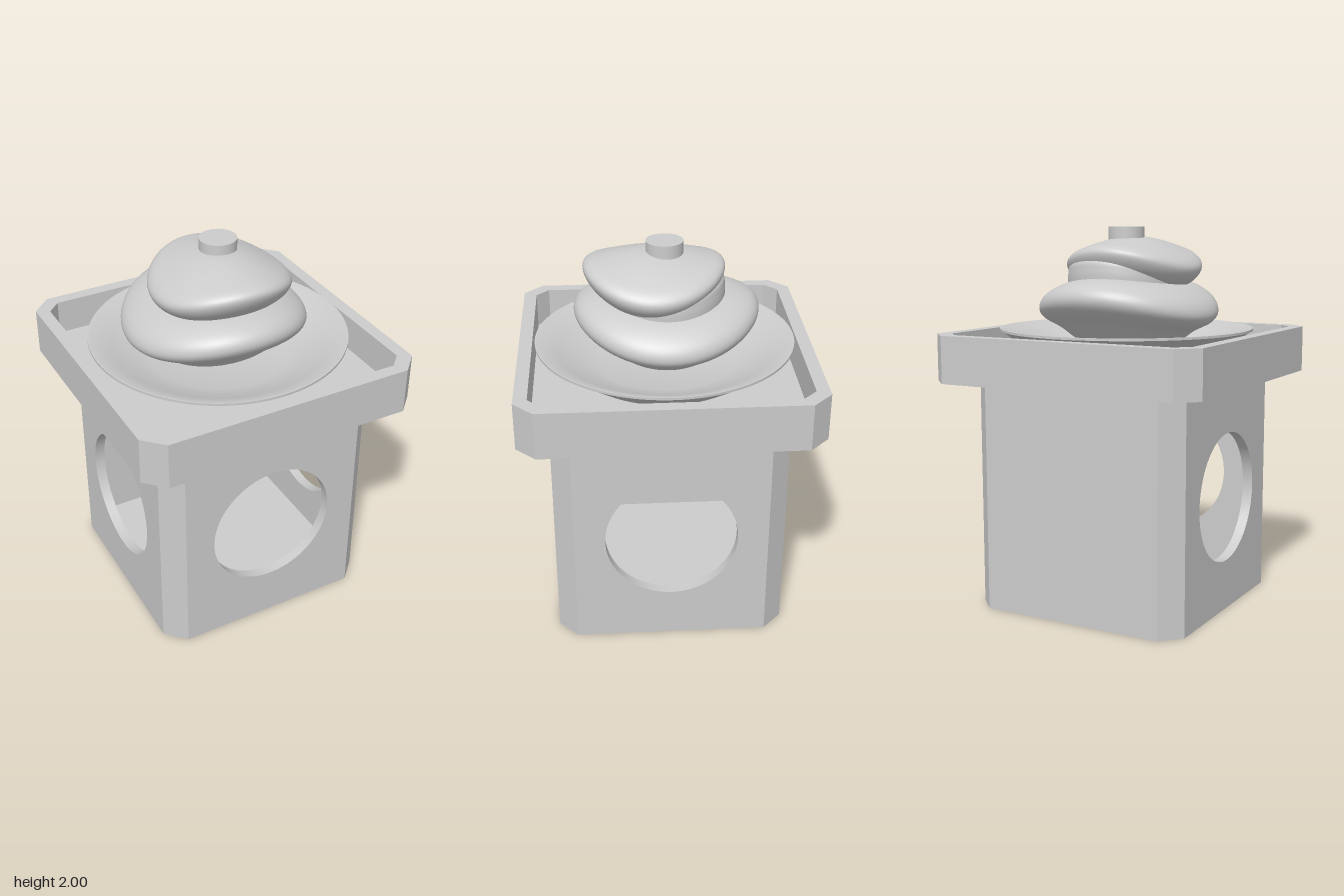
import * as THREE from 'three';
import { toCreasedNormals } from 'three/addons/utils/BufferGeometryUtils.js';

const mat = new THREE.MeshStandardMaterial({ color: 0xcccccc });

function add(parent, name, geometry, x = 0, y = 0, z = 0) {
  const mesh = new THREE.Mesh(geometry, mat);
  mesh.name = name;
  mesh.position.set(x, y, z);
  parent.add(mesh);
  return mesh;
}

const vectors = (pts) => pts.map(([x, y]) => new THREE.Vector2(x, y));

// Square outline with cut corners: half width h, corner cut c
function cutSquare(h, c) {
  const k = h - c;
  return vectors([[k, -h], [h, -k], [h, k], [k, h], [-k, h], [-h, k], [-h, -k], [-k, -h]]);
}

// Extrude a plan outline upward
function upright(shape, height) {
  const g = new THREE.ExtrudeGeometry(shape, { depth: height, bevelEnabled: false });
  return g.rotateX(-Math.PI / 2);
}

// Smooth round lump whose edge dips at the sides and rises at front and back
function lump(profile, radius, wave) {
  const pts = new THREE.SplineCurve(vectors(profile)).getPoints(48);
  pts.forEach((p) => { p.x = Math.max(p.x, 0); });
  const g = new THREE.LatheGeometry(pts, 72);
  const p = g.attributes.position;
  for (let i = 0; i < p.count; i++) {
    const x = p.getX(i), z = p.getZ(i);
    p.setY(i, p.getY(i) - wave * (x * x - z * z) / (radius * radius));
  }
  // Carry the normals along with the wave (n' = inverse transpose of the shear)
  const n = g.attributes.normal;
  const v = new THREE.Vector3();
  const k = 2 * wave / (radius * radius);
  for (let i = 0; i < n.count; i++) {
    v.fromBufferAttribute(n, i);
    v.x += k * p.getX(i) * v.y;
    v.z -= k * p.getZ(i) * v.y;
    v.normalize();
    n.setXYZ(i, v.x, v.y, v.z);
  }
  return g;
}

export function createModel() {
  const model = new THREE.Group();
  model.name = 'birdFeeder';

  // Hollow house: four walls (back one closed), cut corner posts, floor, ceiling
  const house = new THREE.Group();
  house.name = 'house';
  model.add(house);
  const H = 1.21, T = 0.055, W = 0.6, K = 0.5, I = W - T;
  ['frontWall', 'leftWall', 'backWall', 'rightWall'].forEach((name, i) => {
    const shape = new THREE.Shape(vectors([[-K, 0], [K, 0], [K, H], [-K, H]]));
    if (name !== 'backWall') {
      shape.holes.push(new THREE.Path().absarc(0, 0.607, 0.341, 0, Math.PI * 2, true));
    }
    const wall = new THREE.ExtrudeGeometry(shape, { depth: T, bevelEnabled: false, curveSegments: 64 });
    wall.translate(0, 0, I);
    add(house, name, toCreasedNormals(wall, 0.5)).rotation.y = i * Math.PI / 2;

    const post = new THREE.Shape(vectors([[I, I], [I, K], [W, K], [K, W], [K, I]]));
    add(house, 'cornerPost', upright(post, H)).rotation.y = i * Math.PI / 2;
  });
  add(house, 'floor', new THREE.BoxGeometry(2 * I, T, 2 * I), 0, T / 2);
  add(house, 'ceiling', new THREE.BoxGeometry(2 * I, T, 2 * I), 0, H - T / 2);

  // Tray on top: raised rim around a sunken floor
  const rim = new THREE.Shape(cutSquare(0.755, 0.1));
  rim.holes.push(new THREE.Path(cutSquare(0.687, 0.068).reverse()));
  add(model, 'trayRim', upright(rim, 0.245), 0, H);
  add(model, 'trayFloor', upright(new THREE.Shape(cutSquare(0.687, 0.068)), 0.06), 0, H);

  // Shallow dish
  const dish = new THREE.LatheGeometry(vectors([
    [0, 1.27], [0.36, 1.27], [0.45, 1.31], [0.56, 1.385], [0.66, 1.455], [0.673, 1.46],
    [0.673, 1.472], [0.66, 1.472], [0.56, 1.425], [0.45, 1.375], [0.36, 1.345], [0, 1.33],
  ]), 96);
  add(model, 'dish', toCreasedNormals(dish, 0.6));

  // Swirled stack: lower lump, neck and upper lump
  add(model, 'lowerLump', lump([
    [0, 1.34], [0.24, 1.40], [0.36, 1.485], [0.45, 1.545], [0.475, 1.6],
    [0.44, 1.66], [0.34, 1.71], [0.2, 1.73], [0, 1.74],
  ], 0.475, 0.045), -0.02, 0, -0.01);
  add(model, 'neck', lump([
    [0.29, 1.6], [0.298, 1.68], [0.298, 1.76], [0.28, 1.815], [0.2, 1.85], [0, 1.86],
  ], 0.3, 0.02), 0.008, 0, -0.008);
  add(model, 'upperLump', lump([
    [0, 1.67], [0.16, 1.675], [0.26, 1.705], [0.33, 1.76], [0.36, 1.82],
    [0.335, 1.862], [0.26, 1.895], [0.17, 1.925], [0.08, 1.945], [0, 1.948],
  ], 0.36, 0.042), -0.02, 0, 0.053);

  // Peg at the very top
  add(model, 'topPeg', new THREE.CylinderGeometry(0.095, 0.095, 0.15, 48), 0, 1.925, 0);

  return model;
}
